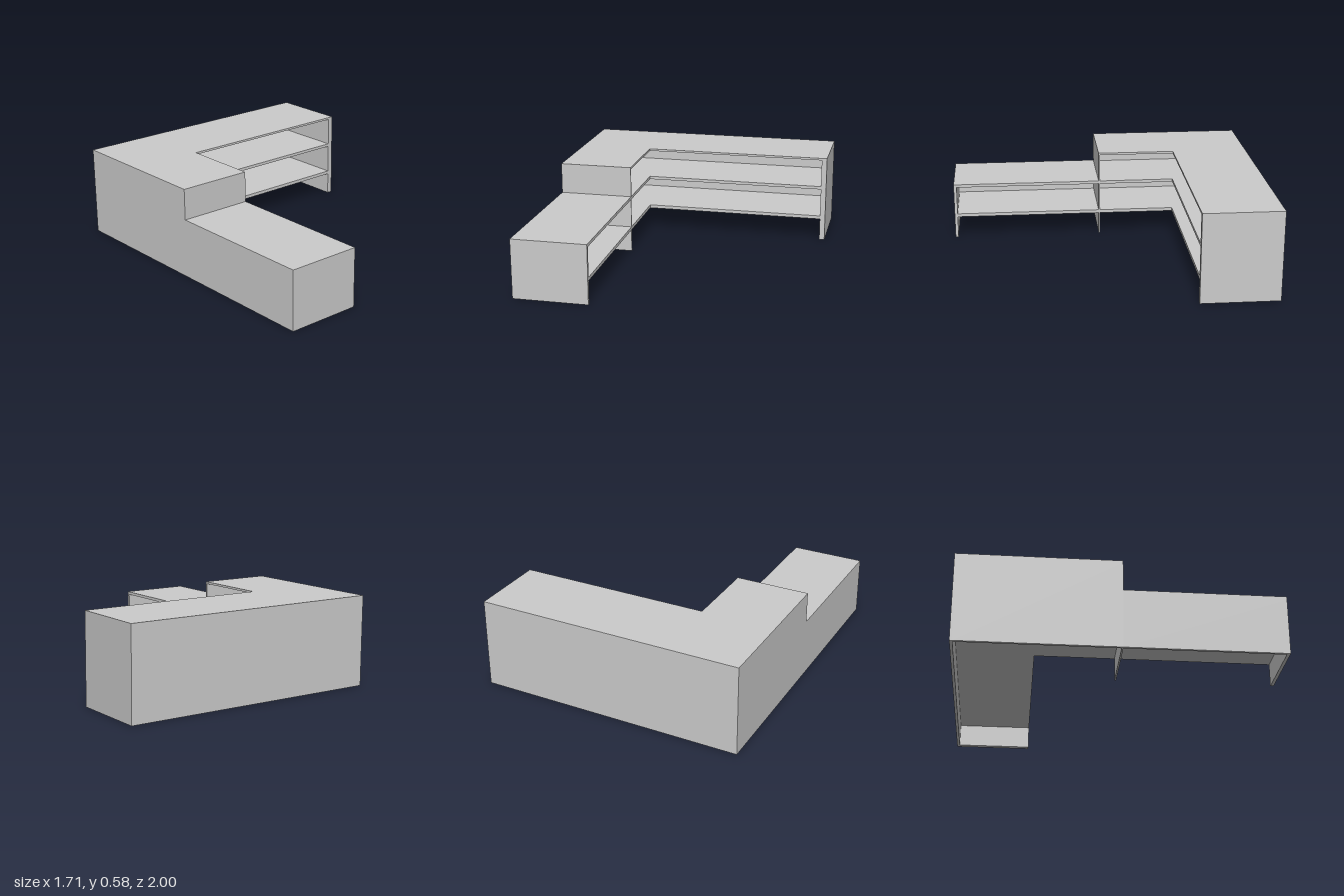
import * as THREE from 'three';

const X0 = -0.857, X1 = 0.857;   // overall width
const LEG = -0.38;               // inner edge of the side run
const FRONT = -0.5;              // front edge of the rear run
const STEP = 0.01;               // where the high part drops to the low part
const HIGH = 0.578, LOW = 0.379;
const T = 0.018;                 // wall thickness

export function createModel() {
  const group = new THREE.Group();
  group.name = 'cornerCounter';
  const material = new THREE.MeshStandardMaterial({ color: 0xcccccc, flatShading: true });

  const add = (name, geometry) => {
    const mesh = new THREE.Mesh(geometry, material);
    mesh.name = name;
    group.add(mesh);
  };

  // Box given by its limits on each axis
  const panel = (name, [xa, xb], [ya, yb], [za, zb]) => {
    const g = new THREE.BoxGeometry(xb - xa, yb - ya, zb - za);
    g.translate((xa + xb) / 2, (ya + yb) / 2, (za + zb) / 2);
    add(name, g);
  };

  // L-shaped board lying flat between two heights
  const cornerBoard = (name, ya, yb, x0, x1, z0, z1) => {
    const outline = [[x0, z0], [x1, z0], [x1, FRONT], [LEG, FRONT], [LEG, z1], [x0, z1]];
    const shape = new THREE.Shape(outline.map(([x, z]) => new THREE.Vector2(x, -z)));
    const g = new THREE.ExtrudeGeometry(shape, { depth: yb - ya, bevelEnabled: false });
    g.rotateX(-Math.PI / 2);
    g.translate(0, ya, 0);
    add(name, g);
  };

  // Worktops
  const topUnder = HIGH - 0.014, lowUnder = LOW - 0.02;
  cornerBoard('highTop', topUnder, HIGH, X0, X1, -1, STEP);
  panel('lowTop', [X0, LEG], [lowUnder, LOW], [STEP, 1]);

  // Outer walls
  panel('backWall', [X0, X1], [0, topUnder], [-1, -1 + T]);
  panel('highSideWall', [X0, X0 + T], [0, topUnder], [-1 + T, STEP]);
  panel('lowSideWall', [X0, X0 + T], [0, lowUnder], [STEP, 1]);

  // End panels and the divider at the step
  panel('rearRunEnd', [0.822, X1], [0, topUnder], [-1 + T, FRONT]);
  panel('sideRunEnd', [X0 + T, LEG], [0, lowUnder], [0.98, 1]);
  panel('divider', [X0 + T, LEG], [0, topUnder], [0, STEP]);

  // Inner shelves
  for (const [ya, yb] of [[0.147, 0.169], [lowUnder, LOW]]) {
    cornerBoard('cornerShelf', ya, yb, X0 + T, 0.822, -1 + T, 0);
  }
  panel('sideShelf', [X0 + T, LEG], [0.147, 0.169], [STEP, 0.98]);

  return group;
}
